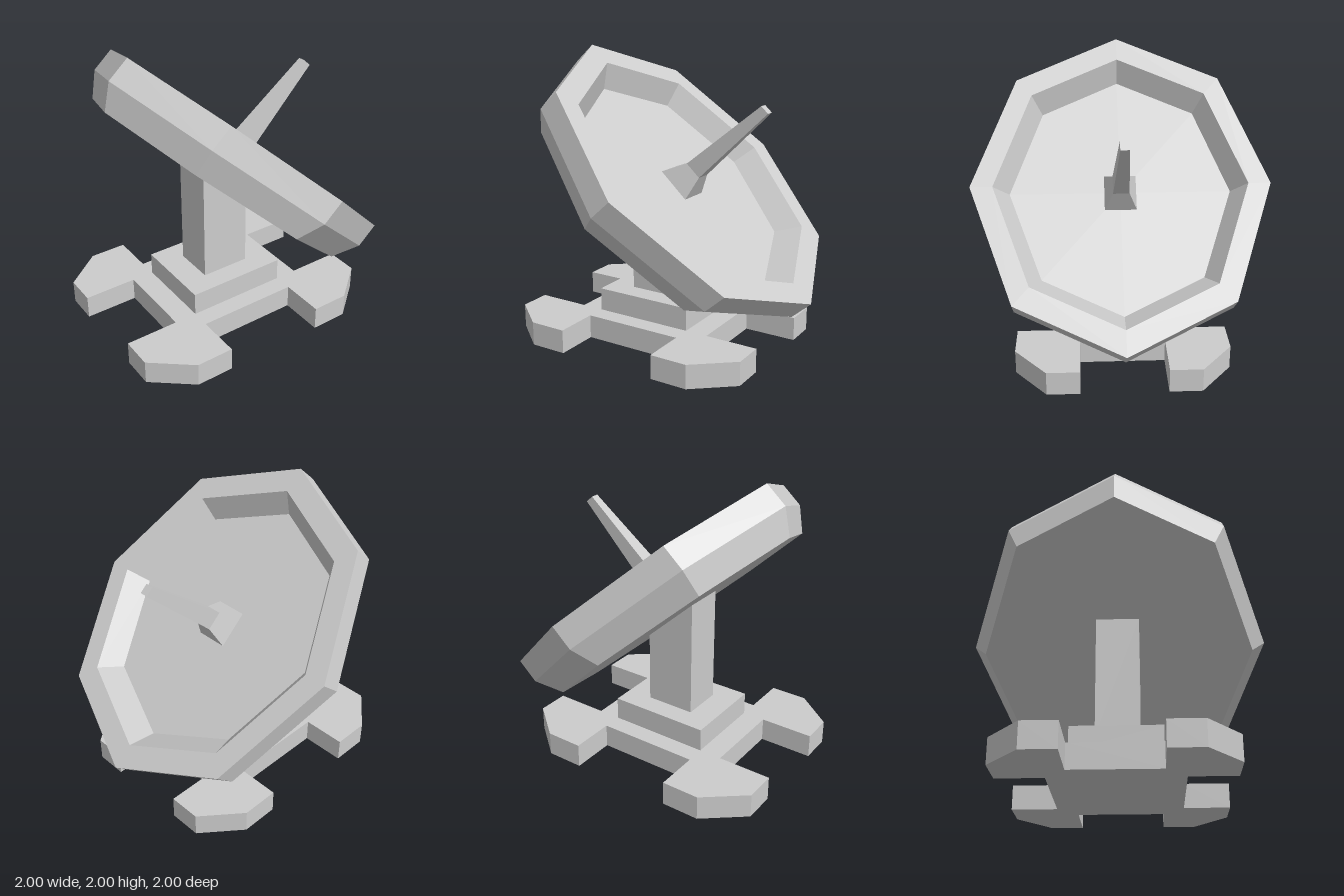
import * as THREE from 'three';

const material = new THREE.MeshStandardMaterial({ color: 0xcccccc, flatShading: true });

function addPart(group, name, geometry) {
  const flat = geometry.index ? geometry.toNonIndexed() : geometry;
  flat.computeVertexNormals();
  const mesh = new THREE.Mesh(flat, material);
  mesh.name = name;
  group.add(mesh);
  return mesh;
}

// Faceted solid turned around y from [radius, height] pairs, bottom to top
function turned(profile, sides, phi = 0) {
  return new THREE.LatheGeometry(profile.map(([r, y]) => new THREE.Vector2(r, y)), sides, phi);
}

// Plan outline given in x and z, extruded upwards from y = 0
function slab(points, height) {
  const shape = new THREE.Shape(points.map(([x, z]) => new THREE.Vector2(x, -z)));
  return new THREE.ExtrudeGeometry(shape, { depth: height, bevelEnabled: false }).rotateX(-Math.PI / 2);
}

export function createModel() {
  const model = new THREE.Group();
  model.name = 'dishAntenna';
  const midZ = 0.12;

  // Base plate: one quarter with its chamfered foot, mirrored to all four corners
  const quarter = [[0.42, 0.355], [0.725, 0.355], [0.725, 0.615], [0.51, 0.88], [0.29, 0.88], [0.29, 0.51]];
  const outline = [];
  for (const [sx, sz] of [[1, 1], [-1, 1], [-1, -1], [1, -1]]) {
    const corner = quarter.map(([x, z]) => [x * sx, z * sz]);
    outline.push(...(sx * sz > 0 ? corner : corner.reverse()));
  }
  addPart(model, 'basePlate', slab(outline, 0.165)).position.z = midZ;

  // Plinth on the base plate
  addPart(model, 'plinth', new THREE.BoxGeometry(0.58, 0.16, 0.706)).position.set(0, 0.245, midZ);

  // Pillar, its top cut to the slope of the dish underside
  const pillar = new THREE.BoxGeometry(0.285, 1, 0.346);
  const p = pillar.attributes.position;
  for (let i = 0; i < p.count; i++) {
    p.setY(i, p.getY(i) > 0 ? 0.985 + p.getZ(i) * 0.92 : 0.32);
  }
  addPart(model, 'pillar', pillar).position.z = midZ;

  // Tilted frame of the dish: y runs along its axis, z up its slope (stretched)
  const tilt = new THREE.Matrix4().makeBasis(
    new THREE.Vector3(1, 0, 0),
    new THREE.Vector3(0, 0.663, -0.749),
    new THREE.Vector3(0, 0.79, 0.86)
  ).setPosition(0, 1.21, -0.14);

  // Eight-sided dish with flat rim and recessed floor
  const dish = turned([[0, -0.346], [0.9, -0.346], [1, -0.176], [1, 0], [0.85, 0], [0.75, -0.16], [0, -0.16]], 8);
  addPart(model, 'dish', dish.applyMatrix4(tilt));

  // Four-sided feed mast with flared foot
  const mast = [[0.11, -0.165], [0.055, 0], [0.028, 0.675]].map(([h, y]) => [h * Math.SQRT2, y]);
  const feed = turned([[0, -0.165], ...mast, [0, 0.675]], 4, Math.PI / 4);
  addPart(model, 'feedMast', feed.applyMatrix4(tilt));

  return model;
}
